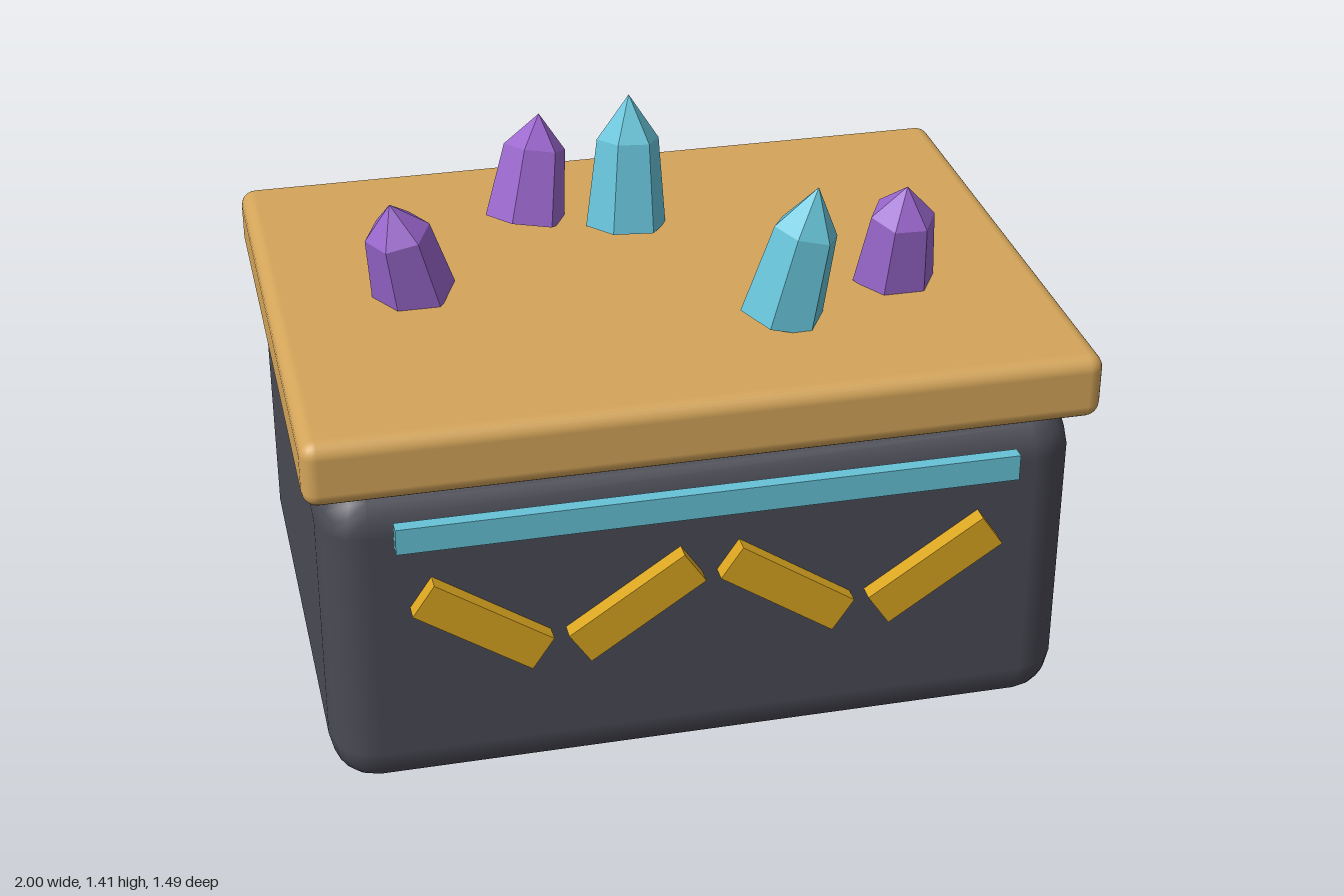
import * as THREE from 'three';
import { RoundedBoxGeometry } from 'three/addons/geometries/RoundedBoxGeometry.js';

const mat = (name, color, flatShading = false) => {
  const m = new THREE.MeshStandardMaterial({ color, flatShading });
  m.name = name;
  return m;
};

export function createModel() {
  const model = new THREE.Group();
  model.name = 'crystalChest';
  const stone = mat('darkStone', 0x4a4a55);
  const wood = mat('paleWood', 0xd4a55a);
  const gold = mat('gold', 0xdaa520, true);
  const blue = mat('paleBlue', 0x66c2d7, true);
  const purple = mat('purple', 0x9966cc, true);

  const add = (name, geometry, material, x, y, z) => {
    const mesh = new THREE.Mesh(geometry, material);
    mesh.name = name;
    mesh.position.set(x, y, z);
    model.add(mesh);
    return mesh;
  };

  // Rounded body and overhanging slab
  add('body', new RoundedBoxGeometry(1.93, 0.88, 1.4, 2, 0.12), stone, 0, 0.44, 0);
  add('topSlab', new RoundedBoxGeometry(2, 0.175, 1.47, 3, 0.04), wood, 0, 0.967, 0);

  // Trim bar and zigzag on the front and back
  for (const [side, s] of [['front', 1], ['back', -1]]) {
    add(side + 'TrimBar', new THREE.BoxGeometry(1.575, 0.07, 0.034), blue, 0, 0.772, s * 0.727);
    for (let i = 0; i < 4; i++) {
      const bar = add(side + 'Zigzag' + (i + 1), new THREE.BoxGeometry(0.354, 0.1, 0.05), gold,
        (i - 1.5) * 0.387, 0.495, s * 0.719);
      bar.rotation.z = i % 2 ? 0.593 : -0.593;
    }
  }

  // Six-sided crystal: tapered shaft and pointed tip, leaning towards (dx, dz)
  const up = new THREE.Vector3(0, 1, 0);
  const addCrystal = (name, material, x, z, dx, dz, shaft, tip) => {
    const crystal = new THREE.Group();
    crystal.name = name;
    const shaftMesh = new THREE.Mesh(
      new THREE.CylinderGeometry(0.085, 0.11, shaft, 6, 1, false, Math.PI / 6), material);
    shaftMesh.name = 'crystalShaft';
    shaftMesh.position.y = shaft / 2;
    const tipMesh = new THREE.Mesh(
      new THREE.ConeGeometry(0.085, tip, 6, 1, true, Math.PI / 6), material);
    tipMesh.name = 'crystalTip';
    tipMesh.position.y = shaft + tip / 2;
    crystal.add(shaftMesh, tipMesh);
    crystal.position.set(x, 1.055, z);
    crystal.quaternion.setFromUnitVectors(up, new THREE.Vector3(dx, 1, dz).normalize());
    model.add(crystal);
  };
  addCrystal('blueCrystalFront', blue, 0.27, 0.34, 0.26, -0.01, 0.24, 0.12);
  addCrystal('blueCrystalBack', blue, 0, -0.265, 0.06, -0.16, 0.24, 0.12);
  addCrystal('purpleCrystalRight', purple, -0.62, 0.005, -0.21, 0.18, 0.2, 0.09);
  addCrystal('purpleCrystalBack', purple, -0.26, -0.36, 0.2, -0.24, 0.2, 0.09);
  addCrystal('purpleCrystalLeft', purple, 0.613, 0.195, 0.03, 0.2, 0.2, 0.09);
  return model;
}
